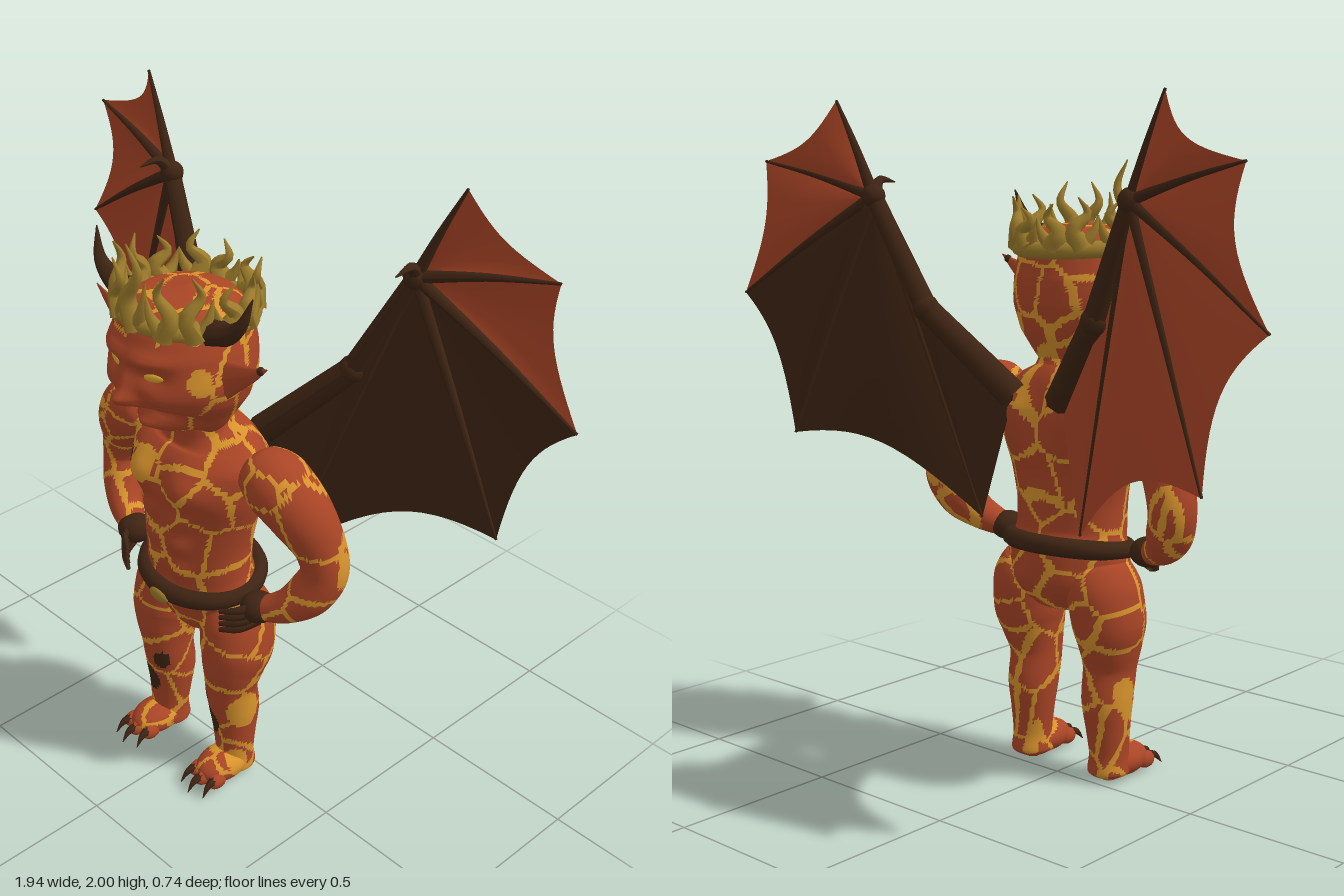
import * as THREE from 'three';

const V = (x, y, z) => new THREE.Vector3(x, y, z);
const std = (name, color, side = THREE.FrontSide) => {
  const m = new THREE.MeshStandardMaterial({ color, side });
  m.name = name;
  return m;
};

export function createModel() {
  const root = new THREE.Group();
  root.name = 'wingedDemon';
  const skin = std('skin', 0xaa4526, THREE.DoubleSide);
  const lava = std('lavaCracks', 0xd8932c);
  const dark = std('darkBrown', 0x3e2413, THREE.DoubleSide);
  const gold = std('gold', 0x9c7b2b);
  const eyeMat = std('eyes', 0xdba52e);

  const add = (name, geo, mat, parent = root) => {
    const m = new THREE.Mesh(geo, mat);
    m.name = name;
    parent.add(m);
    return m;
  };

  // Jittered cell centres: the borders between cells become glowing cracks
  let seed = 11;
  const rnd = () => (seed = (seed * 16807) % 2147483647) / 2147483647;
  const cells = [];
  for (let x = -0.6; x <= 0.6; x += 0.145)
    for (let y = -0.05; y <= 1.75; y += 0.145)
      for (let z = -0.2; z <= 0.42; z += 0.145)
        cells.push(V(x + rnd() * 0.13, y + rnd() * 0.13, z + rnd() * 0.13));

  // Patches as [x, y, z, radius]
  const darkSpots = [[-0.17, 0.21, 0.13, 0.045], [0.11, 0.21, 0.13, 0.045], [0.09, 0.31, 0.14, 0.028],
    [-0.1, 0.31, 0.14, 0.028], [-0.17, 1.07, 0.2, 0.038]];
  const lavaSpots = [[-0.08, 1.1, 0.22, 0.05], [0.21, 0.28, 0.08, 0.055], [-0.21, 0.28, 0.05, 0.04],
    [0.2, 0.07, 0.1, 0.04], [0.18, 1.46, 0.22, 0.035]];
  const inSpot = (p, list) => list.some(([x, y, z, r]) => Math.hypot(p.x - x, (p.y - y) * 0.8, p.z - z) < r);
  const surfaceKind = (p) => {
    if (inSpot(p, darkSpots)) return 2;
    if (inSpot(p, lavaSpots)) return 1;
    if (p.y > 1.27 && p.z > 0.2 && p.y < 1.56) return 0;
    let d1 = 9, d2 = 9, c1, c2;
    for (const c of cells) {
      const d = p.distanceToSquared(c);
      if (d < d1) { d2 = d1; c2 = c1; d1 = d; c1 = c; } else if (d < d2) { d2 = d; c2 = c; }
    }
    const width = 0.006 + 0.005 * Math.max(0, Math.sin(p.x * 23 + p.y * 17 + p.z * 31));
    return (d2 - d1) / (2 * c1.distanceTo(c2)) < width ? 1 : 0;
  };

  // Sort the triangles of an indexed geometry into skin, crack and dark groups
  const cracked = (name, geo) => {
    const P = geo.attributes.position, ix = geo.index.array, lists = [[], [], []];
    const a = V(), b = V(), c = V();
    for (let i = 0; i < ix.length; i += 3) {
      a.fromBufferAttribute(P, ix[i]); b.fromBufferAttribute(P, ix[i + 1]); c.fromBufferAttribute(P, ix[i + 2]);
      lists[surfaceKind(a.add(b).add(c).divideScalar(3))].push(ix[i], ix[i + 1], ix[i + 2]);
    }
    geo.setIndex(lists.flat());
    let start = 0;
    lists.forEach((l, k) => { geo.addGroup(start, l.length, k); start += l.length; });
    return add(name, geo, [skin, lava, dark]);
  };

  // Smooth loft through rows [x, y, z, half width, half depth]; bumps push the front (+1) or back (-1)
  const loft = (rows, segs, steps, bumps = []) => {
    const path = new THREE.CatmullRomCurve3(rows.map((r) => V(r[0], r[1], r[2])));
    const size = new THREE.CatmullRomCurve3(rows.map((r) => V(r[3], r[4], 0)));
    const pos = [], idx = [];
    for (let i = 0; i <= steps; i++) {
      const c = path.getPoint(i / steps), s = size.getPoint(i / steps), T = path.getTangent(i / steps);
      const side = V().crossVectors(T, V(0, 0, 1)).normalize(), fwd = V().crossVectors(side, T);
      for (let j = 0; j < segs; j++) {
        const t = (j / segs) * Math.PI * 2;
        const p = c.clone().addScaledVector(side, Math.max(s.x, 0.001) * Math.cos(t))
          .addScaledVector(fwd, Math.max(s.y, 0.001) * Math.sin(t));
        let dz = 0;
        for (const [bx, by, sx, sy, amp, dir] of bumps) {
          const f = Math.max(0, Math.sin(t) * dir);
          dz += dir * amp * Math.sqrt(f) * Math.exp(-(((Math.abs(p.x) - bx) / sx) ** 2) - ((p.y - by) / sy) ** 2);
        }
        pos.push(p.x, p.y, p.z + dz);
        if (i < steps) {
          const k = i * segs + j, l = i * segs + ((j + 1) % segs);
          idx.push(k, k + segs, l, l, k + segs, l + segs);
        }
      }
    }
    const g = new THREE.BufferGeometry();
    g.setAttribute('position', new THREE.Float32BufferAttribute(pos, 3));
    g.setIndex(idx);
    g.computeVertexNormals();
    return g;
  };

  // Tapered tube from radius r0 to r1
  const taper = (pts, r0, r1, n = 12, m = 8) => {
    const curve = new THREE.CatmullRomCurve3(pts);
    const g = new THREE.TubeGeometry(curve, n, 1, m), P = g.attributes.position, p = V();
    for (let i = 0; i < P.count; i++) {
      const u = Math.floor(i / (m + 1)) / n, c = curve.getPointAt(u);
      p.fromBufferAttribute(P, i).sub(c).multiplyScalar(r0 + (r1 - r0) * u).add(c);
      P.setXYZ(i, p.x, p.y, p.z);
    }
    g.computeVertexNormals();
    return g;
  };
  const ball = (x, y, z, rx, ry, rz, n = 16) =>
    new THREE.SphereGeometry(1, n, Math.ceil(n * 0.6)).scale(rx, ry, rz).translate(x, y, z);

  // Torso with pectorals, abdominals, shoulder blades and buttocks
  cracked('torso', loft([
    [0, 0.495, 0.05, 0, 0], [0, 0.52, 0.05, 0.1, 0.08], [0, 0.6, 0.05, 0.2, 0.12], [0, 0.68, 0.055, 0.205, 0.14],
    [0, 0.75, 0.065, 0.185, 0.13], [0, 0.83, 0.068, 0.183, 0.135], [0, 0.93, 0.065, 0.2, 0.14],
    [0, 1.03, 0.06, 0.23, 0.15], [0, 1.12, 0.05, 0.24, 0.14], [0, 1.18, 0.05, 0.19, 0.115],
    [0, 1.22, 0.06, 0.11, 0.095], [0, 1.28, 0.075, 0.09, 0.09], [0, 1.34, 0.08, 0.09, 0.09]], 110, 84, [
    [0.1, 1.07, 0.08, 0.06, 0.045, 1], [0.055, 0.95, 0.035, 0.035, 0.02, 1], [0.055, 0.87, 0.035, 0.035, 0.022, 1],
    [0.055, 0.78, 0.035, 0.04, 0.02, 1], [0.11, 1.1, 0.06, 0.09, 0.025, -1], [0.09, 0.6, 0.07, 0.06, 0.025, -1]]));

  // Head with brow, eye sockets, nose, cheeks, mouth and chin
  const head = cracked('head', loft([
    [0, 1.245, 0.17, 0, 0], [0, 1.26, 0.17, 0.09, 0.09], [0, 1.3, 0.14, 0.145, 0.16], [0, 1.36, 0.125, 0.188, 0.195],
    [0, 1.43, 0.12, 0.207, 0.208], [0, 1.51, 0.115, 0.198, 0.205], [0, 1.58, 0.105, 0.178, 0.185],
    [0, 1.63, 0.1, 0.125, 0.13], [0, 1.65, 0.1, 0, 0]], 100, 70, [
    [0.07, 1.515, 0.08, 0.02, 0.022, 1], [0.075, 1.465, 0.04, 0.022, -0.02, 1], [0, 1.385, 0.028, 0.03, 0.05, 1],
    [0, 1.44, 0.02, 0.05, 0.022, 1], [0.04, 1.38, 0.018, 0.018, 0.014, 1], [0.1, 1.4, 0.04, 0.035, 0.012, 1],
    [0, 1.325, 0.06, 0.009, -0.016, 1], [0, 1.285, 0.05, 0.02, 0.025, 1], [0, 1.345, 0.05, 0.012, 0.012, 1]]));
  const faceZ = (x, y) => {
    const P = head.geometry.attributes.position;
    let best = 9, z = 0;
    for (let i = 0; i < P.count; i++) {
      const d = Math.hypot(P.getX(i) - x, P.getY(i) - y);
      if (P.getZ(i) > 0.15 && d < best) { best = d; z = P.getZ(i); }
    }
    return z;
  };

  for (const s of [1, -1]) {
    const side = s > 0 ? 'left' : 'right';
    const S = (x, y, z) => V(s * x, y, z);
    const flip = (rows) => rows.map(([x, ...r]) => [s * x, ...r]);

    // Face details
    const eye = add(side + 'Eye', ball(0, 0, 0, 0.036, 0.013, 0.008), eyeMat);
    eye.position.set(s * 0.073, 1.463, faceZ(s * 0.073, 1.463) + 0.002);
    eye.rotation.set(0, s * 0.3, s * 0.12);
    const ear = taper([S(0.16, 1.44, 0), S(0.23, 1.475, 0), S(0.29, 1.505, 0), S(0.345, 1.54, 0)], 0.065, 0.002);
    add(side + 'Ear', ear.scale(1, 1, 0.45).translate(0, 0, 0.14), skin);
    if (s > 0) add('earBead', ball(0.322, 1.527, 0.14, 0.012, 0.012, 0.012, 8), dark);
    add(side + 'Horn', taper([S(0.17, 1.595, 0.17), S(0.23, 1.61, 0.175), S(0.28, 1.65, 0.175), S(0.31, 1.735, 0.16)],
      0.042, 0.002), dark);

    // Arm with hand on hip
    cracked(side + 'Arm', loft(flip([
      [0.2, 1.17, 0.055, 0, 0], [0.23, 1.16, 0.055, 0.07, 0.075], [0.3, 1.125, 0.045, 0.098, 0.1],
      [0.37, 1.05, 0.02, 0.092, 0.092], [0.42, 0.95, -0.01, 0.072, 0.075], [0.435, 0.87, -0.015, 0.068, 0.07],
      [0.41, 0.8, 0.01, 0.068, 0.068], [0.36, 0.745, 0.05, 0.052, 0.055], [0.29, 0.71, 0.08, 0.035, 0.04],
      [0.27, 0.7, 0.085, 0, 0]]), 50, 62));
    add(side + 'Hand', ball(s * 0.275, 0.71, 0.085, 0.055, 0.045, 0.055), dark);
    for (let i = 0; i < 4; i++)
      add(side + 'Finger', taper([S(0.28, 0.73 - i * 0.02, 0.09), S(0.255, 0.715 - i * 0.022, 0.145),
        S(0.205, 0.7 - i * 0.022, 0.175)], 0.018, 0.007, 8, 6), dark);

    // Leg, foot and clawed toes
    cracked(side + 'Leg', loft(flip([
      [0.12, 0.68, 0.045, 0, 0], [0.13, 0.65, 0.045, 0.08, 0.1], [0.145, 0.58, 0.045, 0.104, 0.123],
      [0.155, 0.49, 0.055, 0.106, 0.118], [0.152, 0.42, 0.065, 0.092, 0.102], [0.146, 0.34, 0.07, 0.078, 0.082],
      [0.147, 0.25, 0.058, 0.076, 0.08], [0.15, 0.16, 0.058, 0.067, 0.066], [0.153, 0.08, 0.06, 0.06, 0.06],
      [0.153, 0.03, 0.06, 0.064, 0.066], [0.153, 0, 0.06, 0.02, 0.02]]), 56, 70));
    cracked(side + 'Foot', ball(s * 0.155, 0.05, 0.115, 0.066, 0.05, 0.095, 36));
    for (const d of [-0.042, 0, 0.042]) {
      const x = 0.157 + d, z = 0.195 - Math.abs(d) * 0.4;
      add(side + 'Toe', ball(s * x, 0.038, z, 0.023, 0.026, 0.035, 12), skin);
      add(side + 'ToeClaw', taper([S(x, 0.045, z + 0.012), S(x + d * 0.1, 0.042, z + 0.04), S(x + d * 0.2, 0.012, z + 0.068)],
        0.017, 0.001, 8, 7), dark);
    }

    // Wing: arm bone, finger bones and scalloped membranes
    const wing = new THREE.Group();
    wing.name = side + 'Wing';
    root.add(wing);
    const base = S(0.09, 1.15, -0.09), elbow = S(0.32, 1.4, -0.215), wrist = S(0.48, 1.72, -0.265);
    const tips = [S(0.605, 1.995, -0.29), S(0.88, 1.82, -0.335), S(0.97, 1.42, -0.357), S(0.77, 1.0, -0.34),
      S(0.19, 0.78, -0.12)];
    add('wingUpperArm', taper([base, base.clone().lerp(elbow, 0.5), elbow], 0.045, 0.036), dark, wing);
    add('wingForearm', taper([elbow, elbow.clone().lerp(wrist, 0.5), wrist], 0.034, 0.026), dark, wing);
    add('wingElbow', ball(elbow.x, elbow.y, elbow.z, 0.04, 0.04, 0.04, 12), dark, wing);
    add('wingWrist', ball(wrist.x, wrist.y, wrist.z, 0.036, 0.036, 0.036, 12), dark, wing);
    add('wingClaw', taper([wrist, S(0.495, 1.765, -0.225), S(0.5, 1.76, -0.16)], 0.024, 0.002), dark, wing);
    tips.forEach((t, i) => add('wingFinger', taper([wrist, wrist.clone().lerp(t, 0.5).add(V(0, 0.008, 0)), t],
      i === 4 ? 0.012 : 0.019, 0.004), dark, wing));
    const lower = s > 0 ? dark : skin;
    const panel = (A, B, C, scallop, mat) => {
      const g = new THREE.PlaneGeometry(1, 1, 14, 10), P = g.attributes.position;
      for (let i = 0; i < P.count; i++) {
        const v = P.getX(i) + 0.5, u = 0.5 - P.getY(i), arch = 4 * v * (1 - v);
        const p = B.clone().lerp(C, v).sub(A).multiplyScalar(u * (1 - scallop * arch)).add(A);
        P.setXYZ(i, p.x, p.y, p.z - 0.4 * scallop * arch * u * (1 - u * 0.6));
      }
      g.computeVertexNormals();
      add('wingMembrane', g, mat, wing);
    };
    panel(wrist, tips[0], tips[1], 0.16, skin);
    panel(wrist, tips[1], tips[2], 0.13, skin);
    panel(wrist, tips[2], tips[3], 0.1, lower);
    panel(wrist, tips[3], tips[4], 0.12, lower);
    panel(wrist, tips[4], elbow, 0, lower);
    panel(elbow, tips[4], base, 0, lower);
  }

  // Belt, sagging to the front, with a buckle
  const ring = (rx, rz, cz, y, tilt) => new THREE.CatmullRomCurve3(Array.from({ length: 24 }, (_, i) => {
    const t = (i / 24) * Math.PI * 2;
    return V(Math.cos(t) * rx, y + tilt * Math.sin(t), cz + Math.sin(t) * rz);
  }), true);
  add('belt', new THREE.TubeGeometry(ring(0.187, 0.15, 0.055, 0.705, -0.02), 64, 0.029, 10, true), dark);
  add('buckle', ball(0, 0.675, 0.228, 0.04, 0.022, 0.014), gold);

  // Crown: band and rising curled flames, tallest at the front
  add('crownBand', new THREE.TubeGeometry(ring(0.178, 0.178, 0.105, 1.583, 0.012), 64, 0.025, 10, true), gold);
  const flames = 13;
  for (let i = 0; i < flames; i++) {
    const t = (i / flames) * Math.PI * 2, sw = i % 2 ? 1 : -1;
    const h = i === 0 ? 0.235 : 0.1 + 0.03 * (1 + Math.cos(t)) + (i % 3) * 0.012;
    const at = (a, r, y) => V(Math.sin(t + a) * r, y, 0.105 + Math.cos(t + a) * r);
    add('crownFlame', taper([at(0, 0.18, 1.58), at(0.13 * sw, 0.19, 1.59 + h * 0.3), at(-0.08 * sw, 0.185, 1.59 + h * 0.65),
      at(0.06 * sw, 0.2, 1.59 + h)], 0.034, 0.002, 14), gold);
    add('crownSideFlame', taper([at(0, 0.18, 1.58), at(-0.17 * sw, 0.19, 1.6 + h * 0.2), at(-0.24 * sw, 0.192, 1.6 + h * 0.55)],
      0.026, 0.002, 8), gold);
  }
  return root;
}
